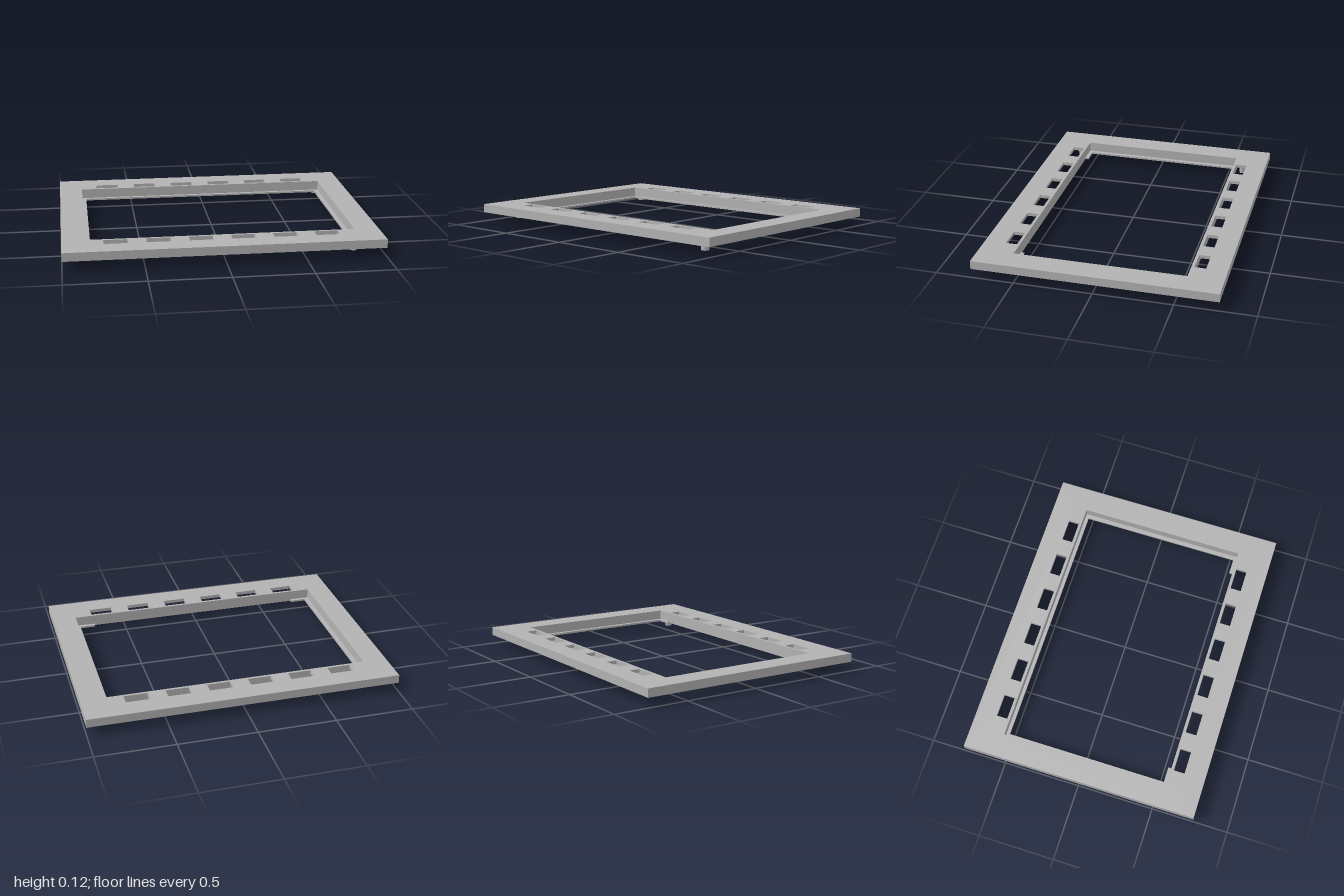
import * as THREE from 'three';

const grey = new THREE.MeshStandardMaterial({ color: 0xb2b2b2 });
grey.name = 'plain grey';

const TOP = 0.115;

// Closed rectangle in plan: x0..x1 across, z0..z1 deep
function trace(path, [x0, x1, z0, z1]) {
  path.moveTo(x0, z0);
  path.lineTo(x1, z0);
  path.lineTo(x1, z1);
  path.lineTo(x0, z1);
  path.closePath();
  return path;
}

// Flat slab with rectangular holes, between heights y0 and y1
function slab(name, outline, holes, y0, y1) {
  const shape = trace(new THREE.Shape(), outline);
  for (const h of holes) shape.holes.push(trace(new THREE.Path(), h));
  const geo = new THREE.ExtrudeGeometry(shape, { depth: y1 - y0, bevelEnabled: false });
  geo.rotateX(Math.PI / 2).translate(0, y1, 0);
  const mesh = new THREE.Mesh(geo, grey);
  mesh.name = name;
  return mesh;
}

export function createModel() {
  const model = new THREE.Group();
  model.name = 'bezelFrame';
  const outer = [-1, 1, -0.774, 0.772];
  const opening = [-0.848, 0.845, -0.55, 0.545];
  const plateBottom = 0.093;

  // Two rows of six ventilation slots
  const slots = [];
  for (let i = 0; i < 6; i++) {
    const x = -0.743 + i * 0.265;
    slots.push([x, x + 0.15, -0.64, -0.568], [x, x + 0.15, 0.563, 0.635]);
  }
  model.add(slab('facePlate', outer, [opening, ...slots], plateBottom, TOP));

  // Outer skirt around the hollow underside
  model.add(slab('outerRim', outer, [[-0.94, 0.94, -0.714, 0.712]], 0.06, plateBottom));

  // Wall hanging from the edge of the opening
  model.add(slab('openingWall', [-0.86, 0.857, -0.562, 0.563], [opening], 0.04, plateBottom));

  // Retaining ledge on the back and sides, with a short tab at each front corner
  const [x0, x1, z0, z1] = opening;
  const ledge = [
    ['backLedge', [x0, x1, z0, -0.528]],
    ['rightLedge', [x0, -0.82, -0.528, z1]],
    ['leftLedge', [0.818, x1, -0.528, z1]],
    ['rightCornerTab', [-0.82, -0.72, 0.522, z1]],
    ['leftCornerTab', [0.716, 0.818, 0.522, z1]],
  ];
  for (const [name, rect] of ledge) model.add(slab(name, rect, [], 0.04, 0.052));

  // Round posts under the four corners
  const posts = [
    ['frontLeftPost', 0.827, 0.604, 0.024, 0],
    ['frontRightPost', -0.83, 0.604, 0.021, 0.02],
    ['backLeftPost', 0.827, -0.601, 0.021, 0.018],
    ['backRightPost', -0.83, -0.601, 0.021, 0.02],
  ];
  for (const [name, x, z, r, y] of posts) {
    const post = new THREE.Mesh(new THREE.CylinderGeometry(r, r, plateBottom - y, 24), grey);
    post.name = name;
    post.position.set(x, (plateBottom + y) / 2, z);
    model.add(post);
  }
  return model;
}
